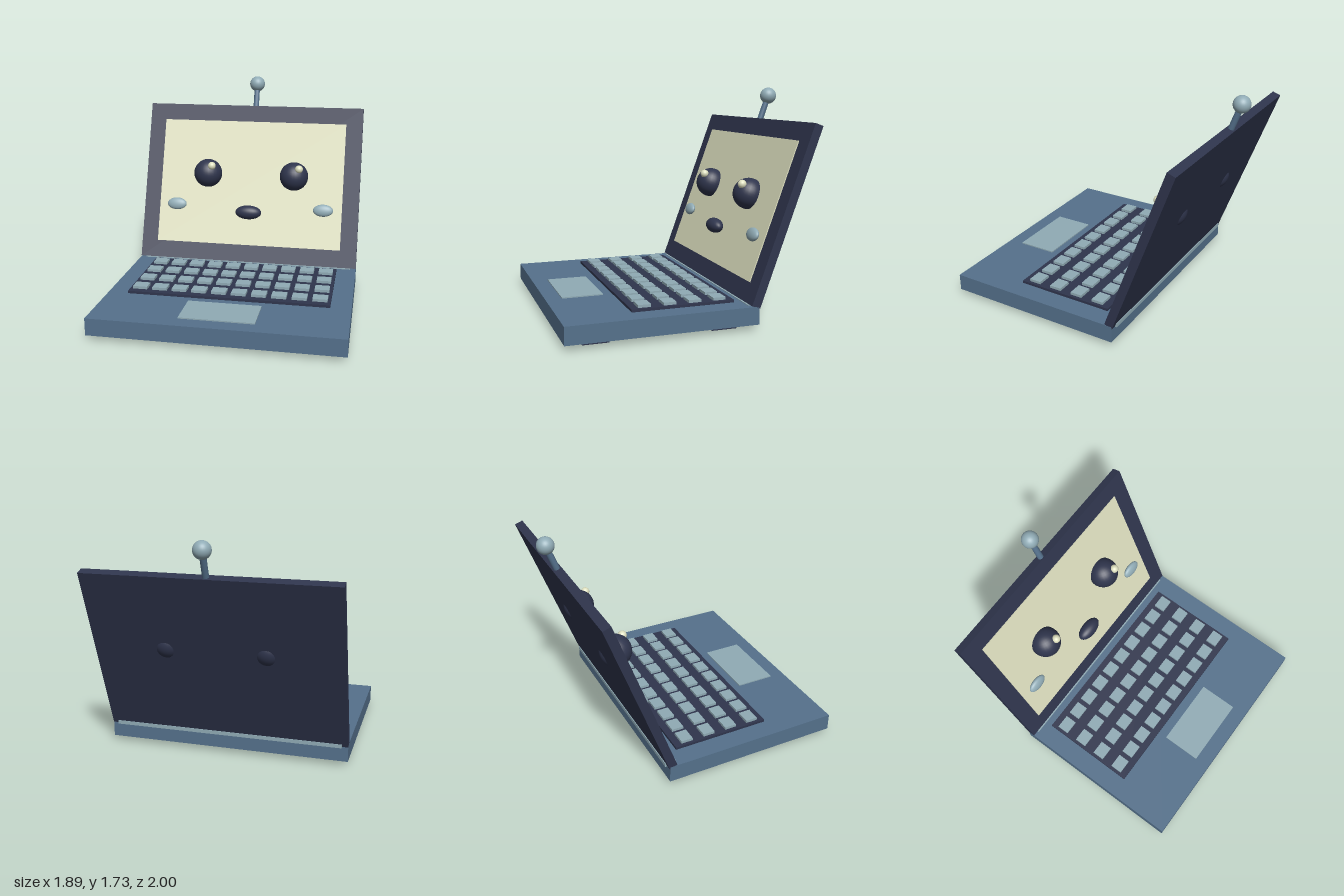
import * as THREE from 'three';

const paint = (name, color) => {
  const m = new THREE.MeshStandardMaterial({ color });
  m.name = name;
  return m;
};

export function createModel() {
  const navy = paint('dark navy', 0x2f354d);
  const blue = paint('steel blue', 0x55718c);
  const pale = paint('pale blue grey', 0x90abb5);
  const cream = paint('cream', 0xdddfbf);

  const add = (parent, name, geometry, material, x, y, z) => {
    const mesh = new THREE.Mesh(geometry, material);
    mesh.name = name;
    mesh.position.set(x, y, z);
    parent.add(mesh);
    return mesh;
  };
  // Box given by its width and its y and z ranges
  const slab = (parent, name, material, x, w, y0, y1, z0, z1) =>
    add(parent, name, new THREE.BoxGeometry(w, y1 - y0, z1 - z0), material, x, (y0 + y1) / 2, (z0 + z1) / 2);
  const ball = (parent, name, material, r, x, y, z, sx = 1, sy = 1, sz = 1) =>
    add(parent, name, new THREE.SphereGeometry(r, 28, 20), material, x, y, z).scale.set(sx, sy, sz);

  const model = new THREE.Group();
  model.name = 'laptop';

  // Lower half: body, feet, keyboard and trackpad
  const base = new THREE.Group();
  base.name = 'base';
  model.add(base);
  slab(base, 'body', blue, 0, 1.894, 0.04, 0.173, -0.42, 1);
  for (const x of [-0.762, 0.762]) {
    slab(base, 'frontFoot', navy, x, 0.19, 0, 0.042, 0.67, 0.86);
    slab(base, 'backFoot', navy, x, 0.19, 0, 0.042, -0.28, -0.09);
  }
  slab(base, 'keyboardDeck', navy, 0, 1.576, 0.165, 0.193, -0.292, 0.488);
  for (let row = 0; row < 4; row++) {
    for (let col = 0; col < 10; col++) {
      const z = -0.186 + row * 0.1905;
      slab(base, 'key', pale, (col - 4.5) * 0.157, 0.115, 0.188, 0.214, z - 0.048, z + 0.048);
    }
  }
  slab(base, 'trackpad', pale, 0, 0.567, 0.17, 0.182, 0.564, 0.878);
  slab(base, 'hinge', pale, 0, 1.8, 0.15, 0.178, -0.438, -0.35);

  // Lid leans back about its lower front edge
  const lid = new THREE.Group();
  lid.name = 'lid';
  lid.position.set(0, 0.18, -0.361);
  lid.rotation.x = -0.35;
  model.add(lid);
  slab(lid, 'lidPanel', navy, 0, 1.894, 0, 1.38, -0.067, 0);
  slab(lid, 'screen', cream, 0, 1.61, 0.146, 1.236, -0.001, 0.008);

  // Face
  for (const s of [-1, 1]) {
    ball(lid, 'eye', navy, 0.123, s * 0.38, 0.762, 0.036);
    ball(lid, 'eyeHighlight', cream, 0.034, s * 0.38 + 0.05, 0.813, 0.138);
    ball(lid, 'cheek', pale, 0.086, s * 0.645, 0.479, 0.026, 1, 0.61, 0.35);
  }
  ball(lid, 'mouth', navy, 0.114, 0, 0.43, 0.044, 1, 0.53, 0.53);

  // Antenna
  add(lid, 'antennaRod', new THREE.CylinderGeometry(0.024, 0.024, 0.23, 16), blue, 0, 1.475, -0.033);
  ball(lid, 'antennaBall', pale, 0.066, 0, 1.587, -0.032);

  return model;
}
